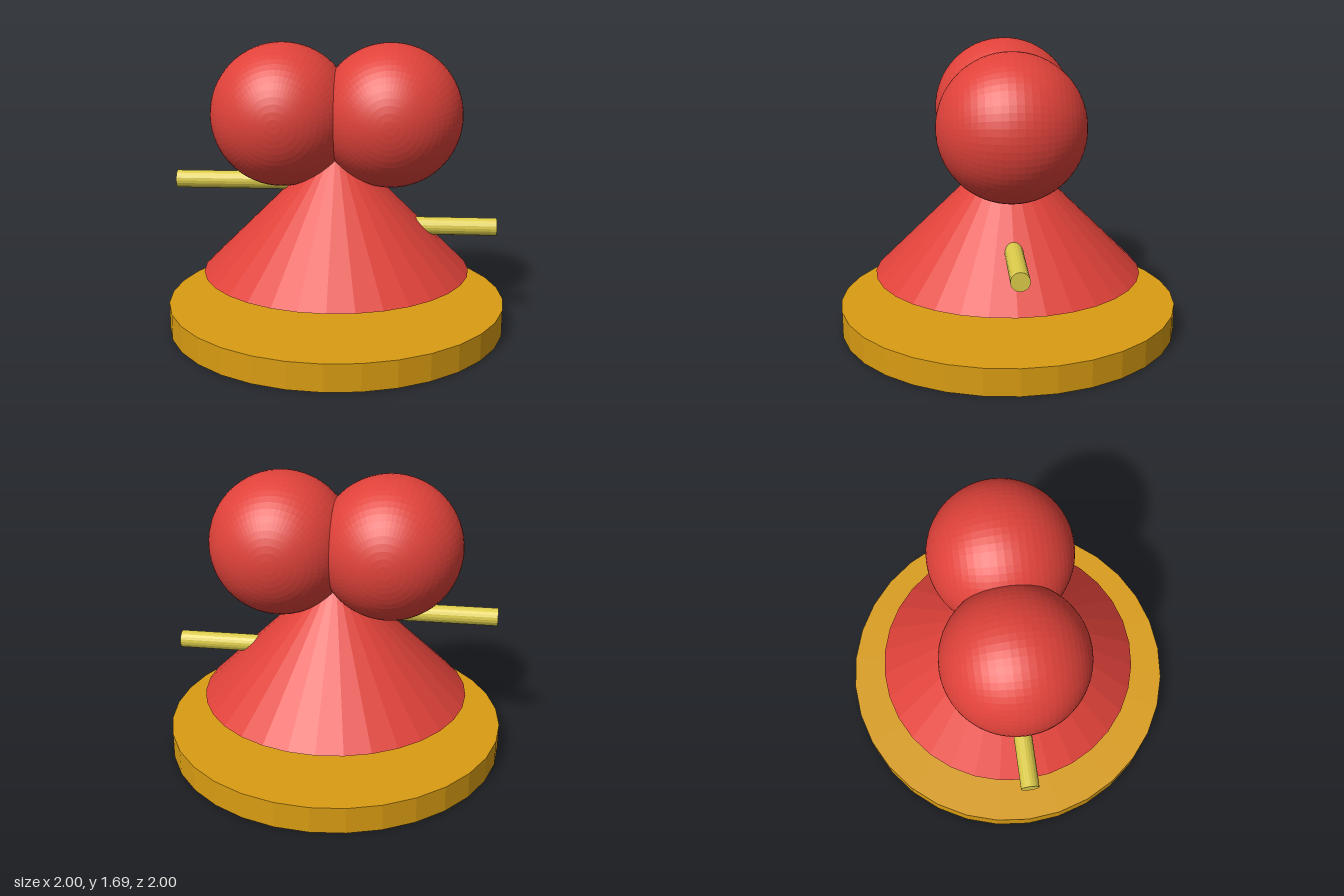
import * as THREE from 'three';

const material = (name, color) => {
  const m = new THREE.MeshStandardMaterial({ color, flatShading: true });
  m.name = name;
  return m;
};

export function createModel() {
  const group = new THREE.Group();
  const red = material('red', 0xe0423a);
  const amber = material('amber', 0xd99c12);
  const yellow = material('yellow', 0xdccb4a);

  const add = (name, geometry, mat, x, y) => {
    const mesh = new THREE.Mesh(geometry, mat);
    mesh.name = name;
    mesh.position.set(x, y, 0);
    group.add(mesh);
  };

  // Round plinth
  add('base', new THREE.CylinderGeometry(1, 1, 0.158, 32), amber, 0, 0.079);

  // Conical body floating above the plinth, its tip hidden in the lobes
  const bottom = 0.345, apex = 1.13;
  add('body', new THREE.ConeGeometry(0.787, apex - bottom, 32), red, 0, (bottom + apex) / 2);

  // Two overlapping spheres, poles facing front and back
  const lobe = new THREE.SphereGeometry(0.418, 64, 32).rotateX(Math.PI / 2);
  add('leftLobe', lobe, red, 0.315, 1.267);
  add('rightLobe', lobe, red, -0.315, 1.267);

  // Horizontal rods at different heights, rooted inside the body
  const inner = 0.1, outer = 0.945;
  const rod = new THREE.CylinderGeometry(0.052, 0.052, outer - inner, 20).rotateZ(Math.PI / 2);
  add('leftArm', rod, yellow, (inner + outer) / 2, 0.608);
  add('rightArm', rod, yellow, -(inner + outer) / 2, 0.871);

  return group;
}
